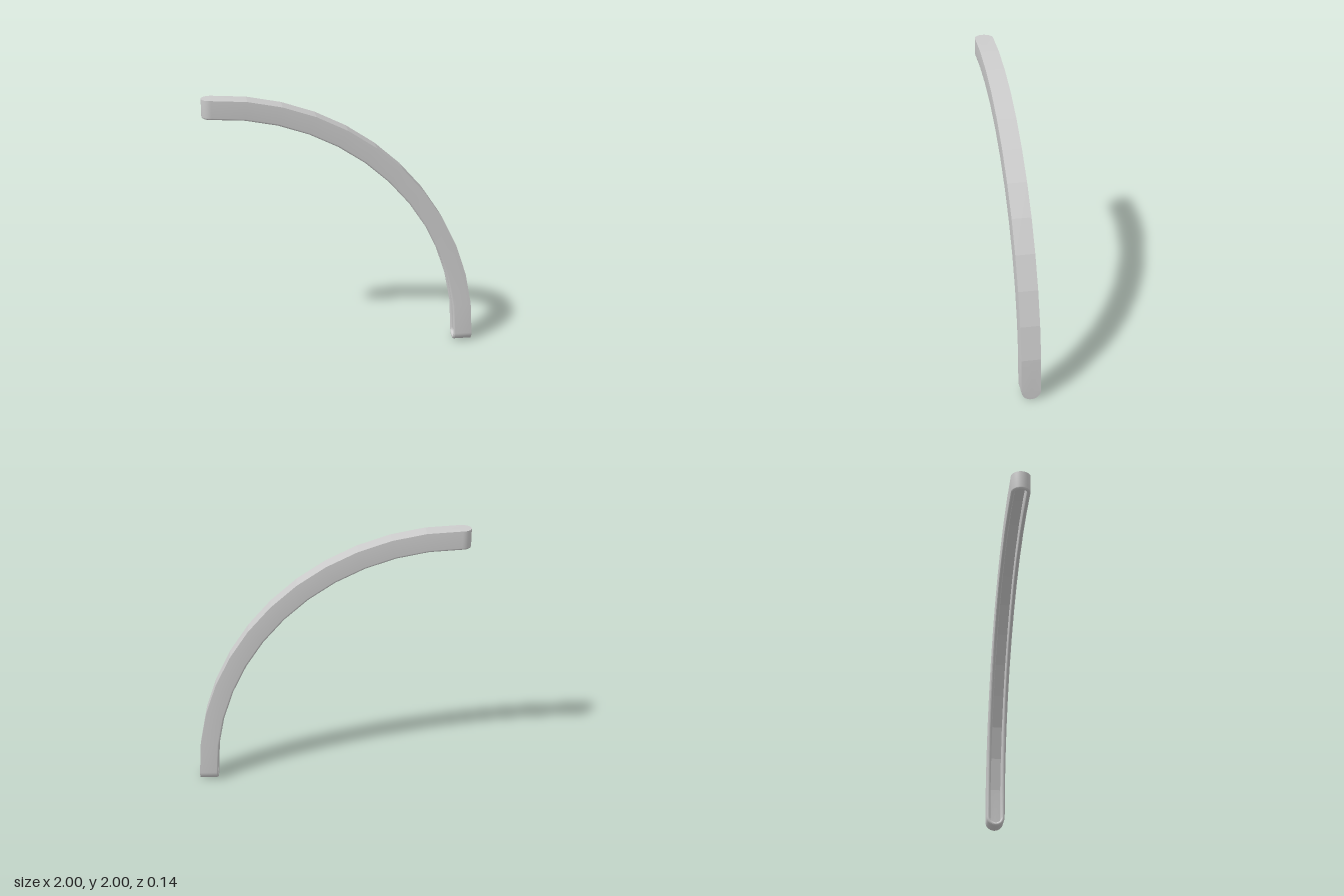
import * as THREE from 'three';
import { toCreasedNormals } from 'three/addons/utils/BufferGeometryUtils.js';

const R = 1.93;        // outer radius of the quarter arc
const HALF = 0.07;     // half width, also the radius of the rounded ends
const DEPTH = 0.14;    // radial depth of the channel
const WALL = 0.028;    // wall thickness
const CX = -0.93, CY = 0.07;
const ARC_STEPS = 12, CAP_STEPS = 16;

// Closed outline of the strip: arc angle, overshoot past the end and side factor
function outline() {
  const pts = [];
  const quarter = Math.PI / 2;
  for (let k = 0; k < ARC_STEPS; k++) pts.push({ a: quarter * k / ARC_STEPS, over: 0, side: 1 });
  for (let k = 0; k < CAP_STEPS; k++) {
    const t = Math.PI * k / CAP_STEPS;
    pts.push({ a: quarter, over: Math.sin(t), side: Math.cos(t) });
  }
  for (let k = ARC_STEPS; k > 0; k--) pts.push({ a: quarter * k / ARC_STEPS, over: 0, side: -1 });
  for (let k = 0; k < CAP_STEPS; k++) {
    const t = Math.PI * k / CAP_STEPS;
    pts.push({ a: 0, over: -Math.sin(t), side: -Math.cos(t) });
  }
  return pts;
}

// Sweeps a profile of [inset, depth] pairs around the outline
function sweep(profile, crease) {
  const loop = outline(), n = loop.length;
  const pos = [], idx = [];
  for (const [inset, depth] of profile) {
    const half = HALF - inset, r = R - depth;
    for (const { a, over, side } of loop) {
      const c = Math.cos(a), s = Math.sin(a);
      pos.push(CX + r * c - over * half * s, CY + r * s + over * half * c, side * half);
    }
  }
  for (let j = 0; j < profile.length - 1; j++) {
    for (let i = 0; i < n; i++) {
      const i2 = (i + 1) % n;
      const p = j * n + i, q = j * n + i2;
      idx.push(p, q, p + n, q, q + n, p + n);
    }
  }
  const geo = new THREE.BufferGeometry();
  geo.setAttribute('position', new THREE.Float32BufferAttribute(pos, 3));
  geo.setIndex(idx);
  return toCreasedNormals(geo, crease);
}

export function createModel() {
  const group = new THREE.Group();
  group.name = 'curvedChannel';
  const material = new THREE.MeshStandardMaterial({ color: 0xcccccc, side: THREE.DoubleSide });
  const add = (name, profile, crease) => {
    const mesh = new THREE.Mesh(sweep(profile, crease), material);
    mesh.name = name;
    group.add(mesh);
  };

  // Faceted outer face
  add('outerFace', [[HALF, 0], [0, 0]], 0.08);

  // Side walls with a rounded rim along the open inner edge
  const walls = [[0, 0]];
  const rr = WALL / 2;
  for (let k = 0; k <= 8; k++) {
    const t = Math.PI * k / 8;
    walls.push([rr - rr * Math.cos(t), DEPTH - rr + rr * Math.sin(t)]);
  }
  walls.push([WALL, WALL]);
  add('sideWalls', walls, 0.7);

  // Floor of the hollow
  add('channelFloor', [[WALL, WALL], [HALF, WALL]], 0.08);
  return group;
}
